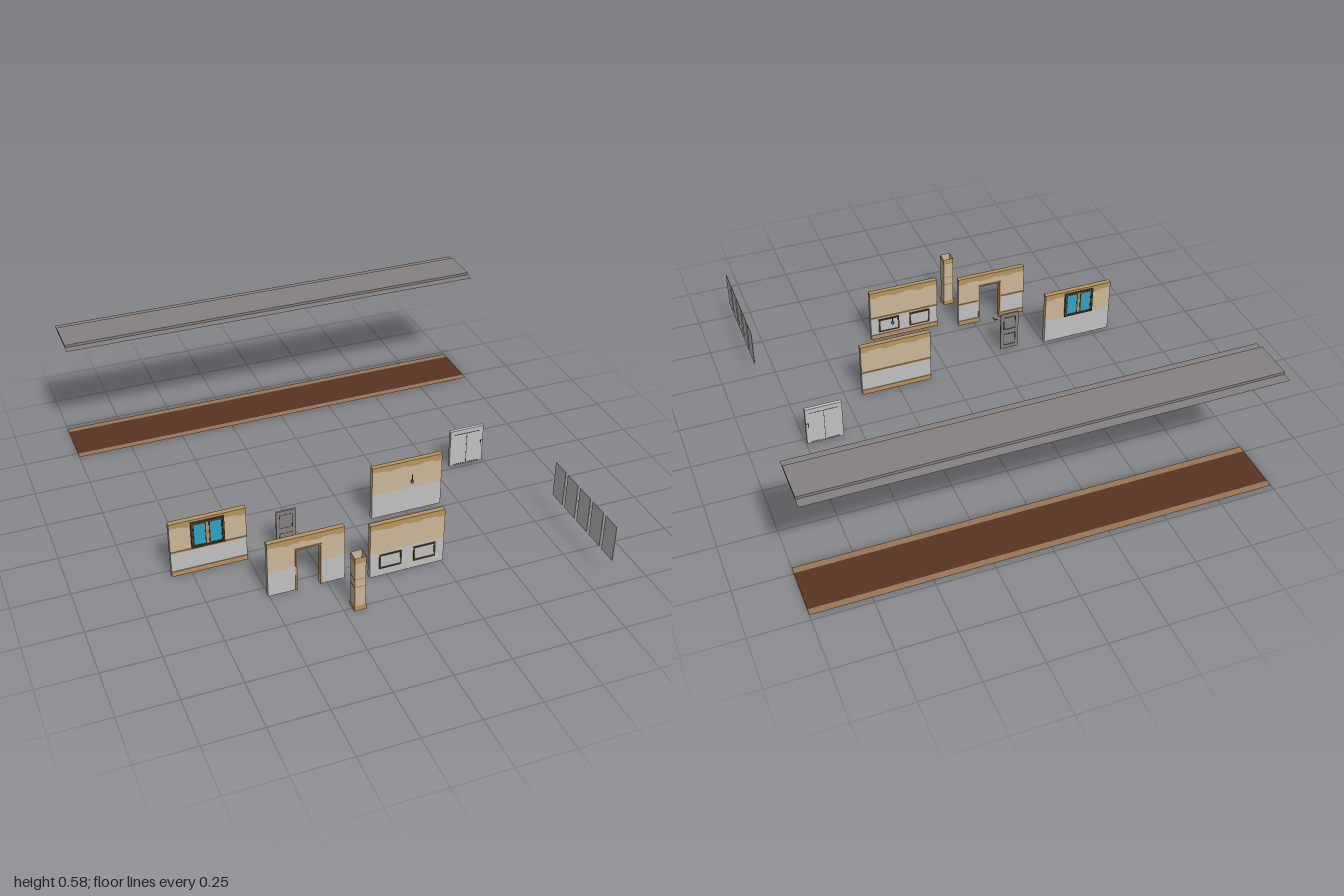
import * as THREE from 'three';

const mat = (name, color, double) => {
  const m = new THREE.MeshStandardMaterial({ color });
  m.name = name;
  if (double) m.side = THREE.DoubleSide;
  return m;
};

export function createModel() {
  const M = {
    plaster: mat('creamPlaster', 0xcbb699, true),
    stain: mat('tanPlaster', 0xb8965f, true),
    panel: mat('paleGrey', 0xbfc1c0, true),
    trim: mat('oakTrim', 0xbd9058),
    wood: mat('darkWood', 0x4c3b2a),
    glass: mat('blueGlass', 0x2fa3c6),
    roof: mat('warmGrey', 0x878181, true),
    carpet: mat('brownCarpet', 0x5a3322, true),
    edge: mat('floorBorder', 0x9a7656, true),
    metal: mat('darkMetal', 0x4a4a4a),
  };
  const model = new THREE.Group();
  const group = (name) => {
    const g = new THREE.Group();
    g.name = name;
    model.add(g);
    return g;
  };
  const add = (g, name, geo, m) => {
    const mesh = new THREE.Mesh(geo, m);
    mesh.name = name;
    g.add(mesh);
    return mesh;
  };
  // box from its limits on each axis
  const box = (g, name, m, x0, x1, y0, y1, z0, z1) => {
    const b = add(g, name, new THREE.BoxGeometry(x1 - x0, y1 - y0, z1 - z0), m);
    b.position.set((x0 + x1) / 2, (y0 + y1) / 2, (z0 + z1) / 2);
    return b;
  };
  // rectangular frame of four bars
  const frame = (g, name, m, x0, x1, y0, y1, z0, z1, w) => {
    for (const y of [y0, y1 - w]) box(g, name, m, x0, x1, y, y + w, z0, z1);
    for (const x of [x0, x1 - w]) box(g, name, m, x, x + w, y0 + w, y1 - w, z0, z1);
  };
  const H = 0.265, MID = 0.122, TOP = 0.247;

  // wavy tan band along the top of a wall face
  const wavyBand = (g, x0, x1, z) => {
    const s = new THREE.Shape();
    s.moveTo(x0, H);
    const n = 24;
    for (let i = 0; i <= n; i++) {
      s.lineTo(x0 + ((x1 - x0) * i) / n, 0.238 + 0.004 * Math.sin(i * 0.75) + 0.002 * Math.sin(i * 1.9));
    }
    s.lineTo(x1, H);
    add(g, 'wavyBand', new THREE.ShapeGeometry(s), M.stain).position.z = z;
  };

  // wall: grey below, cream above, tan top; oak trim on one side; optional doorway
  const wall = (name, x0, x1, z0, z1, trimSide, door) => {
    const g = group(name);
    const spans = door ? [[x0, door[0]], [door[1], x1]] : [[x0, x1]];
    const tz = trimSide > 0 ? [z1, z1 + 0.003] : [z0 - 0.003, z0];
    for (const [a, b] of spans) {
      box(g, 'lowerPanel', M.panel, a, b, 0, MID, z0, z1);
      box(g, 'upperPanel', M.plaster, a, b, MID, door ? 0.205 : TOP, z0, z1);
      box(g, 'skirting', M.trim, a, b, 0, 0.024, ...tz);
      box(g, 'middleTrim', M.trim, a, b, 0.117, 0.124, ...tz);
    }
    if (door) box(g, 'lintel', M.plaster, x0, x1, 0.205, TOP, z0, z1);
    box(g, 'wallTop', M.stain, x0, x1, TOP, H, z0, z1);
    wavyBand(g, x0, x1, z1 + 0.0008);
    wavyBand(g, x0, x1, z0 - 0.0008);
    return g;
  };

  // wall with a double window
  const win = wall('windowWall', -0.835, -0.505, 0.27, 0.293, 1);
  box(win, 'windowBacking', M.trim, -0.742, -0.603, 0.128, 0.252, 0.267, 0.297);
  frame(win, 'windowFrame', M.wood, -0.744, -0.601, 0.126, 0.255, 0.263, 0.302, 0.008);
  for (const x of [-0.732, -0.663]) {
    box(win, 'pane', M.glass, x, x + 0.05, 0.138, 0.243, 0.265, 0.299);
    frame(win, 'sash', M.wood, x - 0.003, x + 0.053, 0.135, 0.246, 0.264, 0.3005, 0.004);
  }

  // wall with a doorway
  const dw = wall('doorWall', -0.505, -0.17, 0.536, 0.558, -1, [-0.38, -0.278]);
  for (const x of [-0.386, -0.278]) box(dw, 'doorPost', M.trim, x, x + 0.007, 0, 0.205, 0.532, 0.562);
  box(dw, 'doorHead', M.trim, -0.386, -0.271, 0.203, 0.21, 0.532, 0.562);

  // wall with two framed panels
  const pw = wall('panelWall', -0.075, 0.258, 0.577, 0.599, -1);
  for (const x of [-0.034, 0.119]) {
    box(pw, 'insetPanel', M.panel, x, x + 0.1, 0.038, 0.108, 0.572, 0.6);
    frame(pw, 'panelFrame', M.wood, x, x + 0.1, 0.037, 0.109, 0.571, 0.603, 0.007);
  }

  // plain wall
  wall('plainWall', 0.09, 0.42, 0.202, 0.224, -1);

  // hollow square column with bands, open at both ends
  const col = group('column');
  const tube = (name, m, r, y0, y1) => {
    const geo = new THREE.CylinderGeometry(r * Math.SQRT2, r * Math.SQRT2, y1 - y0, 4, 1, true);
    geo.rotateY(Math.PI / 4);
    add(col, name, geo.toNonIndexed(), m).position.set(-0.187, (y0 + y1) / 2, 0.745);
    col.children.at(-1).geometry.computeVertexNormals();
  };
  tube('shaft', M.plaster, 0.0235, 0, H);
  tube('columnTop', M.stain, 0.0245, 0.237, H);
  tube('columnBase', M.trim, 0.026, 0, 0.024);
  tube('lowerBand', M.trim, 0.0255, 0.117, 0.125);
  tube('upperBand', M.trim, 0.0255, 0.157, 0.163);

  // loose door leaf with panels on both faces
  const door = group('door');
  box(door, 'doorLeaf', M.roof, -0.374, -0.286, 0.006, 0.204, 0.284, 0.292);
  for (const [y0, y1] of [[0.025, 0.09], [0.115, 0.185]]) {
    frame(door, 'doorMoulding', M.metal, -0.36, -0.3, y0, y1, 0.282, 0.2925, 0.003);
  }

  // loose door handle
  const handle = group('doorHandle');
  box(handle, 'handleBar', M.metal, -0.309, -0.294, 0.102, 0.106, 0.385, 0.388);
  box(handle, 'handleStem', M.metal, -0.297, -0.294, 0.102, 0.106, 0.388, 0.407);

  // hanging lamp
  const lamp = group('lamp');
  const bulb = add(lamp, 'bulb', new THREE.SphereGeometry(0.008, 12, 8), M.metal);
  bulb.position.set(0.22, 0.25, 0.35);
  const cord = add(lamp, 'cord', new THREE.CylinderGeometry(0.0015, 0.003, 0.03, 8), M.metal);
  cord.position.set(0.22, 0.27, 0.35);

  // grey double-leaf panel with a handle
  const cab = group('metalDoor');
  box(cab, 'doorPlate', M.panel, 0.58, 0.745, 0, 0.19, -0.034, -0.018);
  box(cab, 'topSeam', M.metal, 0.597, 0.727, 0.166, 0.169, -0.0345, -0.017);
  box(cab, 'bottomSeam', M.metal, 0.597, 0.727, 0.005, 0.008, -0.0345, -0.017);
  box(cab, 'centreSeam', M.metal, 0.661, 0.663, 0.008, 0.166, -0.0345, -0.017);
  box(cab, 'latch', M.metal, 0.732, 0.735, 0.083, 0.113, -0.036, -0.016);
  box(cab, 'latchArm', M.metal, 0.735, 0.745, 0.11, 0.113, -0.036, -0.016);

  // row of five thin plates
  const plates = group('plates');
  for (let i = 0; i < 5; i++) {
    const z = 0.469 + i * 0.1035;
    box(plates, 'plate', M.panel, 0.844, 0.847, 0.1, 0.27, z, z + 0.085);
  }

  // flat horizontal strip between two z limits
  const strip = (g, name, m, y, z0, z1) => {
    const geo = new THREE.PlaneGeometry(2, z1 - z0).rotateX(-Math.PI / 2);
    add(g, name, geo, m).position.set(0, y, (z0 + z1) / 2);
  };

  // floor with a light border along both long edges
  const floor = group('floor');
  strip(floor, 'carpet', M.carpet, 0.001, -0.945, -0.748);
  strip(floor, 'rearBorder', M.edge, 0.001, -0.975, -0.945);
  strip(floor, 'frontBorder', M.edge, 0.001, -0.748, -0.717);

  // ceiling tray: low flanges and a raised middle
  const ceiling = group('ceiling');
  strip(ceiling, 'rearFlange', M.roof, 0.567, -0.975, -0.932);
  strip(ceiling, 'frontFlange', M.roof, 0.567, -0.757, -0.717);
  strip(ceiling, 'raisedMiddle', M.roof, 0.579, -0.932, -0.757);
  for (const z of [-0.932, -0.757]) {
    add(ceiling, 'traySide', new THREE.PlaneGeometry(2, 0.012), M.roof).position.set(0, 0.573, z);
  }
  for (const x of [-1, 1]) {
    const cap = add(ceiling, 'trayEnd', new THREE.PlaneGeometry(0.175, 0.012).rotateY(Math.PI / 2), M.roof);
    cap.position.set(x, 0.573, -0.8445);
  }
  return model;
}
